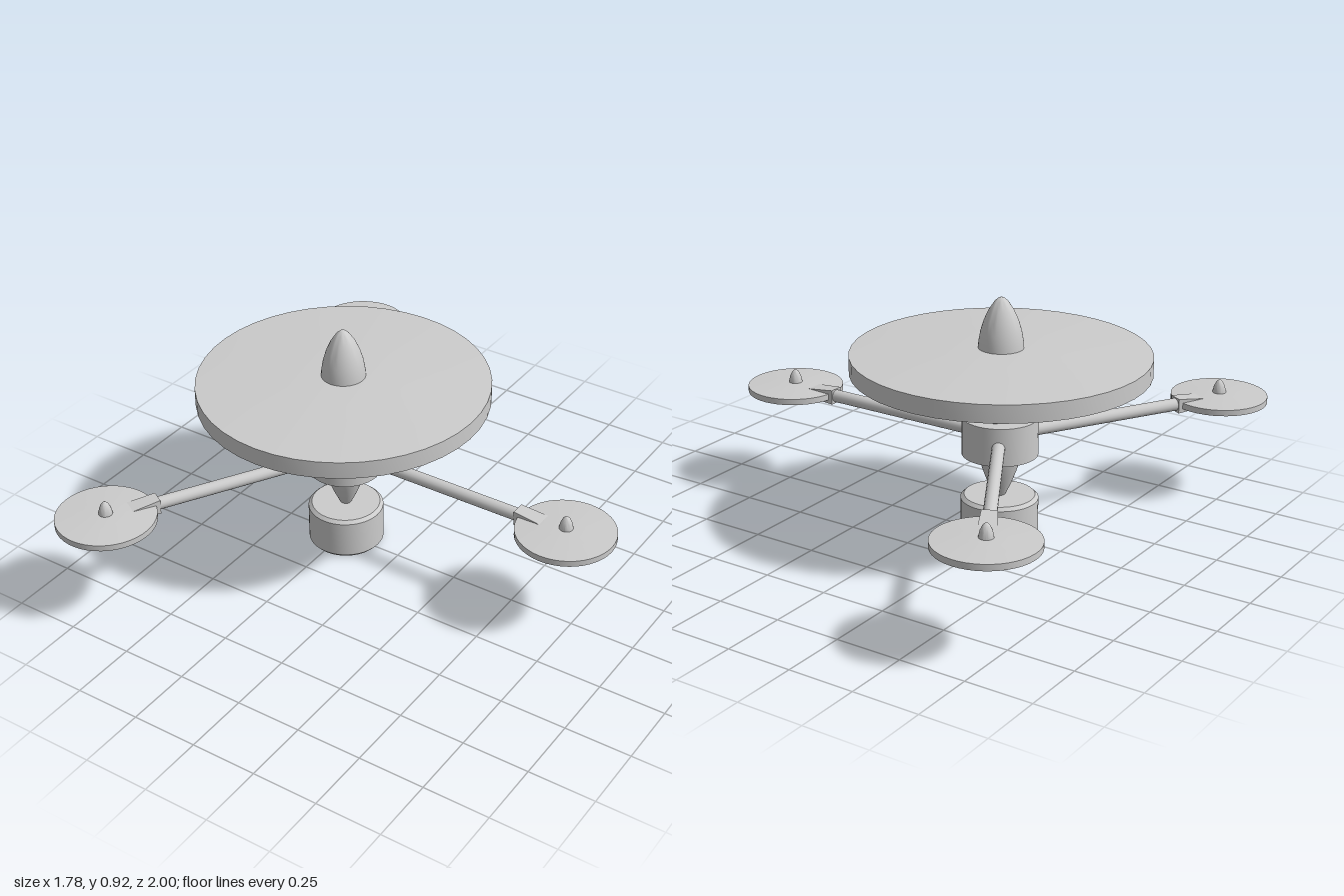
import * as THREE from 'three';
import { toCreasedNormals } from 'three/addons/utils/BufferGeometryUtils.js';

const material = new THREE.MeshStandardMaterial({ color: 0xcccccc });

function addMesh(parent, name, geometry) {
  const mesh = new THREE.Mesh(geometry, material);
  mesh.name = name;
  parent.add(mesh);
  return mesh;
}

// Turned part from [radius, y] points, listed bottom to top
function turned(parent, name, points, segments = 40) {
  const profile = points.map(([r, y]) => new THREE.Vector2(r, y));
  const lathe = new THREE.LatheGeometry(profile, segments);
  return addMesh(parent, name, toCreasedNormals(lathe, 0.45));
}

// Closed disc whose two faces rise slightly towards the middle
function disc(parent, name, radius, rimLow, rimHigh, low, high) {
  return turned(parent, name, [
    [0, low], [radius * 0.4, low + (rimLow - low) * 0.2], [radius, rimLow],
    [radius, rimHigh], [radius * 0.4, high + (rimHigh - high) * 0.2], [0, high],
  ], 44);
}

// Box that narrows in width and height towards +x
function taperedBox(x0, x1, h0, h1, w0, w1) {
  const geometry = new THREE.BoxGeometry(1, 1, 1);
  const p = geometry.attributes.position;
  for (let i = 0; i < p.count; i++) {
    const outer = p.getX(i) > 0;
    p.setXYZ(i, outer ? x1 : x0, p.getY(i) * (outer ? h1 : h0), p.getZ(i) * (outer ? w1 : w0));
  }
  geometry.computeVertexNormals();
  return geometry;
}

export function createModel() {
  const model = new THREE.Group();
  model.name = 'triRotorDrone';
  const body = new THREE.Group();
  body.name = 'body';
  body.position.x = -0.236;
  model.add(body);

  // Central column, from the bottom up
  turned(body, 'lowerPod', [
    [0, 0], [0.132, 0], [0.143, 0.012], [0.143, 0.153], [0.13, 0.165], [0, 0.165],
  ]);
  turned(body, 'tailCone', [
    [0.018, 0.16], [0.028, 0.178], [0.045, 0.215], [0.06, 0.255], [0.073, 0.295], [0.081, 0.33],
  ]);
  turned(body, 'hub', [[0, 0.325], [0.14, 0.325], [0.14, 0.468], [0, 0.468]]);
  turned(body, 'mast', [[0.087, 0.46], [0.087, 0.66]]);
  disc(body, 'mainRotorDisc', 0.543, 0.642, 0.708, 0.618, 0.73);
  turned(body, 'noseCone', [
    [0.083, 0.715], [0.081, 0.75], [0.074, 0.79], [0.062, 0.83],
    [0.045, 0.868], [0.024, 0.9], [0.01, 0.912], [0, 0.915],
  ]);

  // Three arms, each carrying a small rotor
  const armY = 0.393, reach = 0.942;
  for (let i = 0; i < 3; i++) {
    const arm = new THREE.Group();
    arm.name = `arm${i + 1}`;
    arm.position.y = armY;
    arm.rotation.y = (i * Math.PI * 2) / 3;
    body.add(arm);

    const boom = addMesh(arm, 'boom', new THREE.CylinderGeometry(0.024, 0.024, 0.72, 20));
    boom.rotation.z = Math.PI / 2;
    boom.position.x = 0.42;
    addMesh(arm, 'bracket', taperedBox(0.745, 0.87, 0.056, 0.03, 0.054, 0.066));

    const rotor = new THREE.Group();
    rotor.name = 'rotor';
    rotor.position.x = reach;
    arm.add(rotor);
    disc(rotor, 'rotorDisc', 0.183, -0.012, 0.011, -0.02, 0.02);
    turned(rotor, 'rotorCap', [
      [0.026, 0.01], [0.025, 0.025], [0.021, 0.043], [0.013, 0.06], [0.005, 0.068], [0, 0.07],
    ], 20);
  }
  return model;
}
